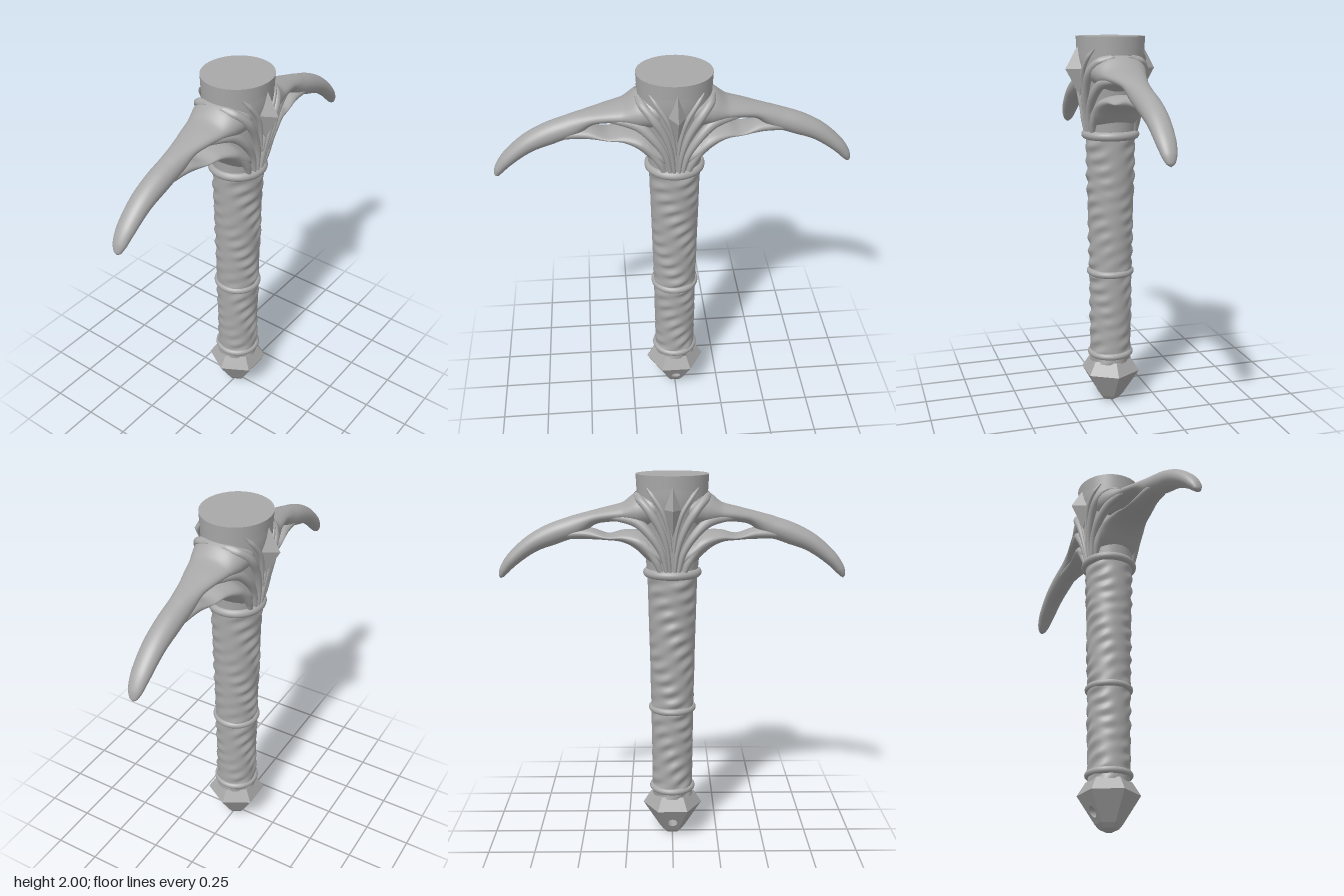
import * as THREE from 'three';

const greyMetal = new THREE.MeshStandardMaterial({ color: 0xa8a8a8 });

function add(parent, name, geometry) {
  const mesh = new THREE.Mesh(geometry, greyMetal);
  mesh.name = name;
  parent.add(mesh);
  return mesh;
}

function facet(geometry) {
  const g = geometry.index ? geometry.toNonIndexed() : geometry;
  g.computeVertexNormals();
  return g;
}

// Smooth elliptical sweep; each station is [x, y, z, half height, half depth]
function sweep(stations, steps = 60, sides = 24) {
  const path = new THREE.CatmullRomCurve3(stations.map(s => new THREE.Vector3(s[0], s[1], s[2])));
  const size = new THREE.CatmullRomCurve3(stations.map(s => new THREE.Vector3(s[3], s[4], 0)));
  const pos = [], index = [];
  for (let i = 0; i <= steps; i++) {
    const t = i / steps, c = path.getPoint(t), s = size.getPoint(t), d = path.getTangent(t);
    const len = Math.hypot(d.x, d.y), nx = -d.y / len, ny = d.x / len;
    for (let j = 0; j < sides; j++) {
      const a = (j / sides) * Math.PI * 2, h = s.x * Math.cos(a);
      pos.push(c.x + nx * h, c.y + ny * h, c.z + s.y * Math.sin(a));
      if (i === steps) continue;
      const k = (j + 1) % sides, p = i * sides, q = p + sides;
      index.push(p + j, p + k, q + j, p + k, q + k, q + j);
    }
  }
  const g = new THREE.BufferGeometry();
  g.setAttribute('position', new THREE.Float32BufferAttribute(pos, 3));
  g.setIndex(index);
  g.computeVertexNormals();
  return g;
}

// Grip with slanting leather folds on its front and back
function gripGeometry() {
  const pts = [];
  for (let i = 0; i <= 220; i++) pts.push(new THREE.Vector2(0.112, 0.24 + (1.27 * i) / 220));
  const g = new THREE.LatheGeometry(pts, 64);
  const p = g.attributes.position;
  for (let i = 0; i < p.count; i++) {
    const y = p.getY(i), a = Math.atan2(p.getX(i), p.getZ(i));
    const base = 0.111 + 0.02 * Math.pow(Math.max(0, (y - 0.4) / 1.1), 1.5);
    const wave = Math.sin(80 * y - 4 * a + 1.1 * Math.sin(9 * y + 2 * a));
    const patch = 0.6 + 0.4 * Math.sin(17 * y + 4 * a);
    const r = base + 0.0065 * wave * patch * (0.15 + 0.85 * Math.abs(Math.cos(a)));
    p.setX(i, r * Math.sin(a));
    p.setZ(i, r * Math.cos(a));
  }
  g.computeVertexNormals();
  // Blend the normals across the lathe seam
  const n = g.attributes.normal, rows = pts.length, last = 64 * rows;
  for (let i = 0; i < rows; i++) {
    const v = new THREE.Vector3().fromBufferAttribute(n, i)
      .add(new THREE.Vector3().fromBufferAttribute(n, last + i)).normalize();
    n.setXYZ(i, v.x, v.y, v.z);
    n.setXYZ(last + i, v.x, v.y, v.z);
  }
  return g;
}

// Hexagonal pommel with a round hole through its front and back faces
function buildPommel(root) {
  const pommel = new THREE.Group();
  pommel.name = 'pommel';
  root.add(pommel);
  const yTop = 0.18, yLow = 0.035, rTop = 0.162, rLow = 0.07;
  const radius = y => rLow + ((rTop - rLow) * (y - yLow)) / (yTop - yLow);
  const faceZ = y => radius(y) * Math.cos(Math.PI / 6);

  const upper = new THREE.CylinderGeometry(0.118, rTop, 0.07, 6, 1, true, Math.PI / 6);
  add(pommel, 'pommelShoulder', facet(upper)).position.y = 0.215;
  const foot = new THREE.CylinderGeometry(rLow, 0.05, 0.024, 6, 1, true, Math.PI / 6);
  add(pommel, 'pommelFoot', facet(foot)).position.y = 0.023;
  const tip = new THREE.CylinderGeometry(0.05, 0.025, 0.011, 6, 1, false, Math.PI / 6);
  add(pommel, 'pommelTip', facet(tip)).position.y = 0.0055;

  const face = new THREE.Shape([
    new THREE.Vector2(-rLow / 2, yLow), new THREE.Vector2(rLow / 2, yLow),
    new THREE.Vector2(rTop / 2, yTop), new THREE.Vector2(-rTop / 2, yTop)]);
  const hole = new THREE.Path();
  hole.absarc(0, 0.09, 0.027, 0, Math.PI * 2, true);
  face.holes.push(hole);
  const panel = new THREE.ShapeGeometry(face, 16);
  const pp = panel.attributes.position;
  for (let i = 0; i < pp.count; i++) pp.setZ(i, faceZ(pp.getY(i)));
  facet(panel);
  panel.computeVertexNormals();

  for (const turn of [0, Math.PI]) {
    add(pommel, 'pommelHoleFace', panel).rotation.y = turn;
    const side = new THREE.CylinderGeometry(rTop, rLow, yTop - yLow, 2, 1, true, Math.PI / 6, Math.PI * 2 / 3);
    const m = add(pommel, 'pommelSideFaces', facet(side));
    m.position.y = (yTop + yLow) / 2;
    m.rotation.y = turn;
  }

  // Bore wall, trimmed to the sloping faces and facing inward
  const bore = new THREE.CylinderGeometry(0.027, 0.027, 2, 32, 1, true).rotateX(Math.PI / 2);
  const bp = bore.attributes.position;
  for (let i = 0; i < bp.count; i++) {
    bp.setY(i, bp.getY(i) + 0.09);
    bp.setZ(i, Math.sign(bp.getZ(i)) * faceZ(bp.getY(i)));
  }
  const ix = bore.index.array;
  for (let i = 0; i < ix.length; i += 3) [ix[i], ix[i + 1]] = [ix[i + 1], ix[i]];
  bore.computeVertexNormals();
  add(pommel, 'pommelBore', bore);
}

export function createModel() {
  const root = new THREE.Group();
  root.name = 'hilt';

  add(root, 'grip', gripGeometry());
  buildPommel(root);

  // Binding rings: height, radius, tube
  for (const [y, r, tube] of [[1.495, 0.13, 0.023], [0.75, 0.109, 0.019], [0.285, 0.107, 0.018]]) {
    const ring = add(root, 'bindingRing', new THREE.TorusGeometry(r, tube, 14, 56));
    ring.rotation.x = Math.PI / 2;
    ring.position.y = y;
  }

  // Head: flaring core and flat-topped collar
  const profile = new THREE.SplineCurve([[0.132, 1.49], [0.138, 1.56], [0.15, 1.68], [0.168, 1.8], [0.18, 1.88], [0.182, 1.95]]
    .map(p => new THREE.Vector2(...p)));
  add(root, 'headCore', new THREE.LatheGeometry(profile.getPoints(30), 56)).scale.z = 0.96;
  const collar = add(root, 'collar', new THREE.CylinderGeometry(0.187, 0.181, 0.12, 56));
  collar.position.y = 1.94;
  collar.scale.z = 0.95;

  // Curved horn, and the lower strand that encloses its opening
  const horn = sweep([
    [0, 1.83, 0, 0.06, 0.1], [0.1, 1.83, 0, 0.1, 0.15], [0.18, 1.815, 0, 0.088, 0.135],
    [0.25, 1.805, 0, 0.05, 0.11], [0.33, 1.795, 0, 0.039, 0.088], [0.41, 1.777, 0, 0.037, 0.068],
    [0.5, 1.735, 0, 0.055, 0.061], [0.6, 1.7, 0, 0.056, 0.06], [0.72, 1.647, 0, 0.047, 0.056],
    [0.83, 1.562, 0, 0.036, 0.048], [0.876, 1.507, 0, 0.026, 0.036],
    [0.893, 1.475, 0, 0.014, 0.02], [0.897, 1.462, 0, 0.001, 0.001]], 110, 32);
  const strand = sweep([
    [0, 1.53, 0, 0.05, 0.1], [0.09, 1.6, 0, 0.055, 0.135], [0.17, 1.662, 0, 0.048, 0.125],
    [0.25, 1.683, 0, 0.031, 0.1], [0.33, 1.68, 0, 0.016, 0.08], [0.43, 1.697, 0, 0.03, 0.062],
    [0.52, 1.697, 0, 0.03, 0.055], [0.6, 1.68, 0, 0.02, 0.04]], 70, 32);

  // Raised veins fanning from the foot of the head
  const veins = [
    [[0.012, 1.51, 0.13, 0.008, 0.012], [0.025, 1.62, 0.142, 0.012, 0.016], [0.06, 1.73, 0.148, 0.018, 0.02],
      [0.12, 1.83, 0.142, 0.022, 0.024], [0.17, 1.885, 0.1, 0.02, 0.026], [0.19, 1.905, 0.04, 0.01, 0.015]],
    [[0.03, 1.51, 0.126, 0.01, 0.012], [0.055, 1.61, 0.13, 0.016, 0.018], [0.11, 1.7, 0.125, 0.022, 0.024],
      [0.18, 1.765, 0.105, 0.026, 0.026], [0.27, 1.785, 0.08, 0.02, 0.022], [0.36, 1.785, 0.05, 0.01, 0.015]],
    [[0.06, 1.51, 0.115, 0.014, 0.014], [0.085, 1.57, 0.116, 0.02, 0.02], [0.14, 1.645, 0.108, 0.024, 0.02],
      [0.21, 1.682, 0.085, 0.018, 0.02], [0.29, 1.685, 0.06, 0.008, 0.014]],
    [[0.006, 1.62, 0.146, 0.006, 0.008], [0.02, 1.72, 0.154, 0.009, 0.012], [0.05, 1.82, 0.161, 0.012, 0.014],
      [0.1, 1.9, 0.146, 0.012, 0.012], [0.13, 1.94, 0.122, 0.004, 0.006]]];

  // Both halves of the guard, each with its front veins and spike
  for (const turn of [0, Math.PI]) {
    const half = new THREE.Group();
    half.name = turn ? 'rightGuard' : 'leftGuard';
    half.rotation.y = turn;
    root.add(half);
    add(half, 'horn', horn);
    add(half, 'lowerStrand', strand);
    for (const sx of [1, -1]) {
      for (const v of veins) add(half, 'vein', sweep(v.map(([x, ...rest]) => [x * sx, ...rest]), 36, 14));
    }
    const spike = add(half, 'spike', new THREE.OctahedronGeometry(1));
    spike.scale.set(0.042, 0.135, 0.075);
    spike.position.set(0, 1.835, 0.165);
  }
  return root;
}
